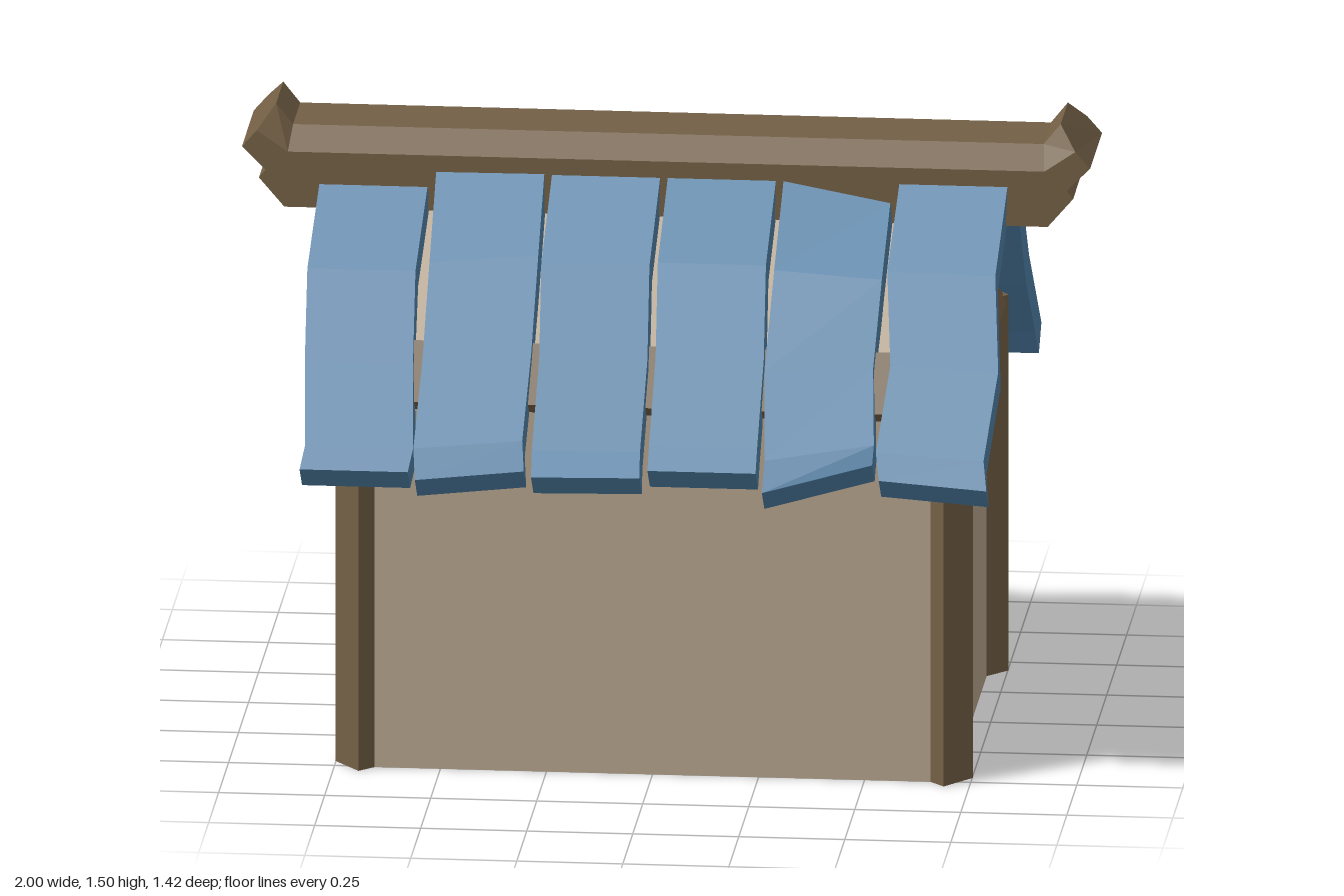
import * as THREE from 'three';

const material = (color) => new THREE.MeshStandardMaterial({ color, flatShading: true });
const wood = material(0x735f45);
const plaster = material(0xb5a48c);
const tileBlue = material(0x4f80a6);

let seed = 11;
const jitter = (amount) => {
  seed = (seed * 16807) % 2147483647;
  return (seed / 2147483647 * 2 - 1) * amount;
};

function add(parent, geometry, mat, name) {
  const mesh = new THREE.Mesh(geometry, mat);
  mesh.name = name;
  parent.add(mesh);
  return mesh;
}

// Straight prism of an x/y outline, centred along z
function prism(points, length) {
  const shape = new THREE.Shape(points.map(([a, b]) => new THREE.Vector2(a, b)));
  return new THREE.ExtrudeGeometry(shape, { depth: length, bevelEnabled: false })
    .translate(0, 0, -length / 2);
}

// Closed solid through rings that run counter-clockwise about the path
function loft(rings) {
  const pos = [];
  const tri = (...corners) => corners.forEach((c) => pos.push(...c));
  const n = rings[0].length;
  for (let r = 0; r < rings.length - 1; r++) {
    for (let i = 0; i < n; i++) {
      const j = (i + 1) % n;
      const a = rings[r], b = rings[r + 1];
      tri(a[i], a[j], b[j]);
      tri(a[i], b[j], b[i]);
    }
  }
  const first = rings[0], last = rings[rings.length - 1];
  for (let i = 1; i < n - 1; i++) {
    tri(first[0], first[i + 1], first[i]);
    tri(last[0], last[i], last[i + 1]);
  }
  const geometry = new THREE.BufferGeometry();
  geometry.setAttribute('position', new THREE.Float32BufferAttribute(pos, 3));
  geometry.computeVertexNormals();
  return geometry;
}

// One warped roof board; top and end are [left, right] slides down the slope
function boardGeometry(x, top, end) {
  const profile = [[0.165, 1.36], [0.335, 1.195], [0.5, 1.01], [0.645, 0.835], [0.688, 0.778]];
  const width = 0.255, thick = 0.085;
  const rings = profile.map(([z, y], i) => {
    const t = i / (profile.length - 1);
    const inner = i > 0 && i < 4;
    const shift = inner ? jitter(0.013) : 0;
    const lift = inner ? jitter(0.014) : 0;
    const corner = (side, depth) => {
      const slide = THREE.MathUtils.lerp(top[side], end[side], t);
      const n = lift - depth;
      return [
        x + (side - 0.5) * width + shift,
        y - 0.74 * slide + 0.67 * n,
        z + 0.67 * slide + 0.74 * n,
      ];
    };
    return [corner(0, thick), corner(1, thick), corner(1, 0), corner(0, 0)];
  });
  return loft(rings);
}

export function createModel() {
  const model = new THREE.Group();
  model.name = 'house';

  // Plastered body with gables
  const body = new THREE.Group();
  body.name = 'body';
  body.position.z = 0.015;
  model.add(body);
  const gable = [[-0.49, 0], [0.49, 0], [0.49, 0.91], [0, 1.37], [-0.49, 0.91]];
  add(body, prism(gable, 1.41).rotateY(-Math.PI / 2), plaster, 'walls');

  // Corner posts set diagonally
  const post = [[0.655, 0.49], [0.69, 0.525], [0.752, 0.447], [0.705, 0.395], [0.64, 0.42]];
  for (const sx of [-1, 1]) {
    for (const sz of [-1, 1]) {
      const outline = post.map(([x, z]) => [x * sx, -z * sz]);
      const geometry = prism(outline, 0.92).rotateX(-Math.PI / 2).translate(0, 0.46, 0);
      add(body, geometry, wood, 'cornerPost');
    }
  }

  // Tilted beams under the eaves and across the gables
  for (const s of [-1, 1]) {
    const eave = [[0.48, 0.87], [0.52, 0.905], [0.43, 1.03], [0.38, 0.96]];
    add(body, prism(eave.map(([z, y]) => [z * s, y]), 1.38).rotateY(-Math.PI / 2), wood, 'eaveBeam');
    const cross = [[0.69, 0.87], [0.748, 0.905], [0.69, 1.0], [0.63, 0.97]];
    add(body, prism(cross.map(([x, y]) => [x * s, y]), 0.9), wood, 'gableBeam');
  }

  // Roof boards on both slopes
  const frontBoards = [
    [[0.04, 0.04], [0, 0]], [[0, -0.02], [0.02, -0.01]], [[0, 0], [0.005, 0]],
    [[0, 0], [-0.02, -0.02]], [[0, 0.05], [0.03, -0.05]], [[0, 0], [-0.01, 0.01]],
  ];
  const backBoards = [
    [[0, 0], [0, 0]], [[0, 0.02], [0.03, 0]], [[0, 0], [-0.005, -0.005]],
    [[-0.01, 0], [0.01, 0]], [[0.01, 0], [0, 0.01]], [[0, 0.01], [-0.01, 0.01]],
  ];
  [frontBoards, backBoards].forEach((boards, k) => {
    const slope = new THREE.Group();
    slope.name = k ? 'backRoof' : 'frontRoof';
    slope.rotation.y = k * Math.PI;
    boards.forEach(([top, end], i) => {
      const x = (i - 2.5) * 0.273 + (k ? 0.005 : -0.005);
      add(slope, boardGeometry(x, top, end), tileBlue, 'roofBoard');
    });
    model.add(slope);
  });

  // Ridge: lower beam with undercut ends
  const ridge = new THREE.Group();
  ridge.name = 'ridge';
  ridge.position.z = 0.015;
  model.add(ridge);
  const lower = [[-0.9, 1.265], [0.9, 1.265], [0.96, 1.335], [0.94, 1.36], [-0.94, 1.36], [-0.96, 1.335]];
  add(ridge, prism(lower, 0.3), wood, 'ridgeBeam');

  // Ridge cap with chamfered top and upturned ends
  const tip = [[1.0, 1.41], [0.965, 1.45], [0.925, 1.5]];
  const neck = [[0.945, 1.355], [0.892, 1.4], [0.885, 1.45]];
  const halfWidths = [0.15, 0.15, 0.09];
  const capRing = (s, points) => {
    const side = (sz) => points.map(([x, y], i) => [x * s, y, sz * halfWidths[i]]);
    return [...side(-1), ...side(1).reverse()];
  };
  const capRings = [capRing(-1, tip), capRing(-1, neck), capRing(1, neck), capRing(1, tip)];
  add(ridge, loft(capRings), wood, 'ridgeCap');

  return model;
}
